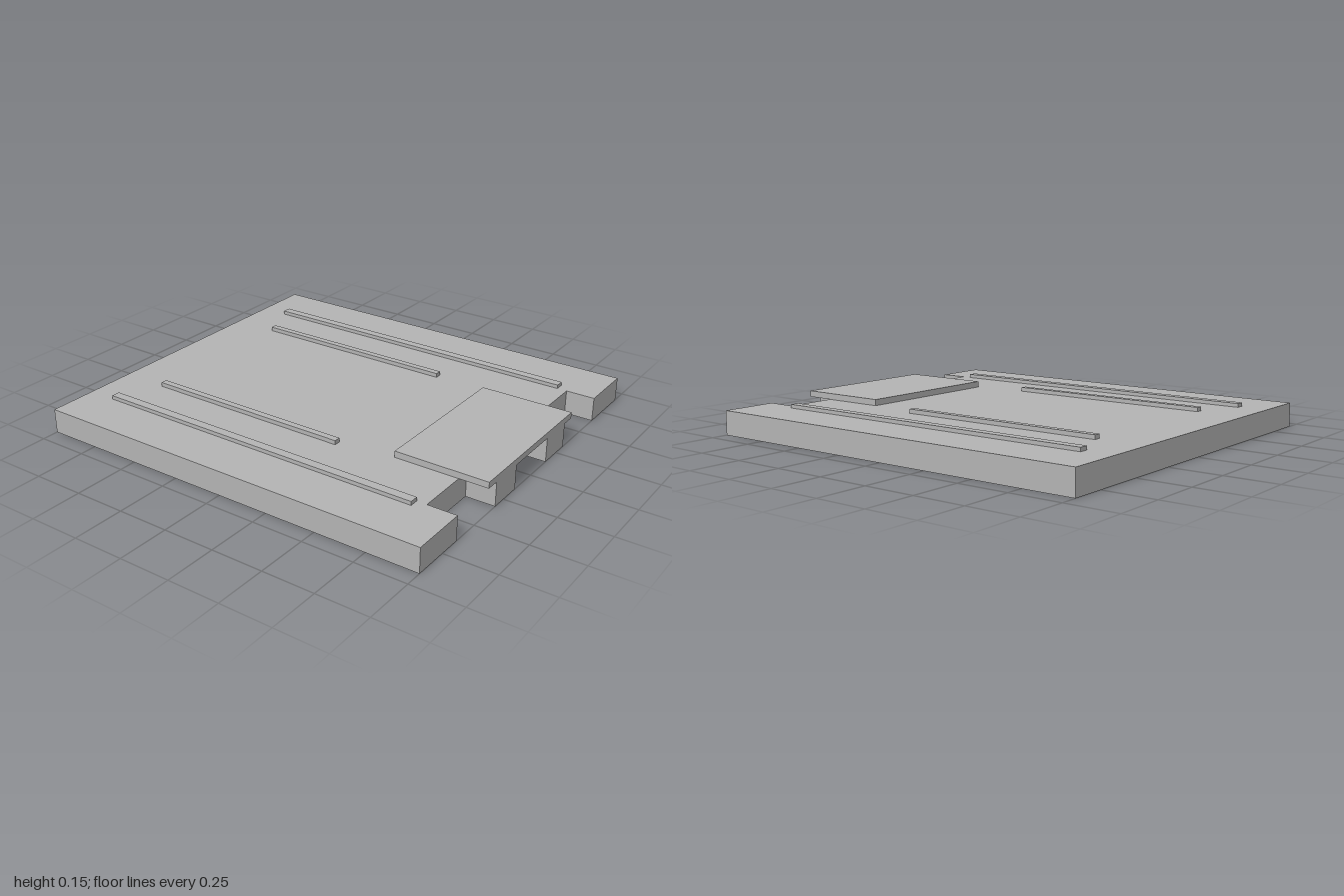
import * as THREE from 'three';

export function createModel() {
  const group = new THREE.Group();
  const grey = new THREE.MeshStandardMaterial({ color: 0xb3b3b3 });
  grey.name = 'plain grey';

  const add = (name, geometry, x = 0, y = 0, z = 0) => {
    const mesh = new THREE.Mesh(geometry, grey);
    mesh.name = name;
    mesh.position.set(x, y, z);
    group.add(mesh);
  };

  // Slab with three notches cut into its +x edge, leaving two small tabs
  const top = 0.118, halfDepth = 0.918, notchX = 0.858;
  const outline = new THREE.Shape();
  outline.moveTo(-1, -halfDepth);
  outline.lineTo(1, -halfDepth);
  for (const [start, end] of [[-0.64, -0.322], [-0.146, 0.146], [0.322, 0.64]]) {
    outline.lineTo(1, start);
    outline.lineTo(notchX, start);
    outline.lineTo(notchX, end);
    outline.lineTo(1, end);
  }
  outline.lineTo(1, halfDepth);
  outline.lineTo(-1, halfDepth);
  outline.closePath();
  const slab = new THREE.ExtrudeGeometry(outline, { depth: top, bevelEnabled: false });
  slab.rotateX(-Math.PI / 2);
  add('baseSlab', slab);

  // Thin raised box on the slab, given by its x range
  const raised = (name, x0, x1, height, depth, z) =>
    add(name, new THREE.BoxGeometry(x1 - x0, height, depth), (x0 + x1) / 2, top + height / 2, z);

  // Cover plate over the tabs
  raised('coverPlate', 0.54, 1, 0.03, 0.776, 0);

  // Mirrored rails
  for (const [label, side] of [['front', 1], ['back', -1]]) {
    raised(label + 'LongRail', -0.86, 0.81, 0.018, 0.043, side * 0.661);
    raised(label + 'ShortRail', -0.767, 0.267, 0.02, 0.032, side * 0.428);
  }
  return group;
}
